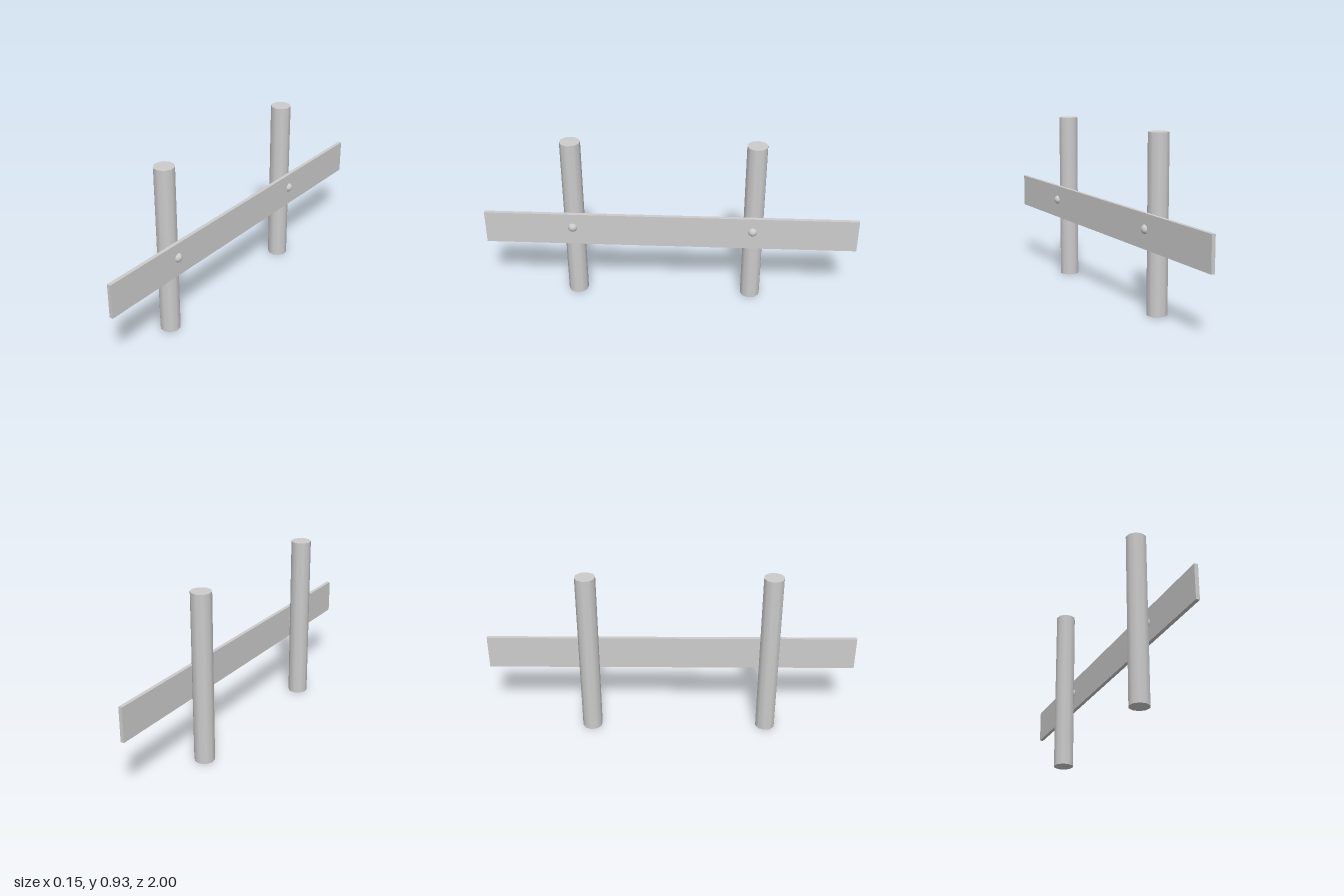
import * as THREE from 'three';

export function createModel() {
  const model = new THREE.Group();
  model.name = 'railFence';
  const material = new THREE.MeshStandardMaterial({ color: 0xcccccc });

  function add(name, geometry, x, y, z) {
    const mesh = new THREE.Mesh(geometry, material);
    mesh.name = name;
    mesh.position.set(x, y, z);
    model.add(mesh);
    return mesh;
  }

  // Horizontal plank on the left side of the posts
  add('rail', new THREE.BoxGeometry(0.02, 0.184, 2), 0.044, 0.438, 0);

  // Upright posts, each with a round-headed bolt through the plank
  const postGeometry = new THREE.CylinderGeometry(0.0545, 0.0545, 0.93, 10);
  postGeometry.rotateY(Math.PI / 20);
  const boltGeometry = new THREE.SphereGeometry(0.026, 16, 12);
  for (const [end, z, boltZ] of [['front', 0.525, 0.527], ['back', -0.445, -0.44]]) {
    add(end + 'Post', postGeometry, -0.02, 0.465, z);
    add(end + 'Bolt', boltGeometry, 0.046, 0.449, boltZ);
  }
  return model;
}
